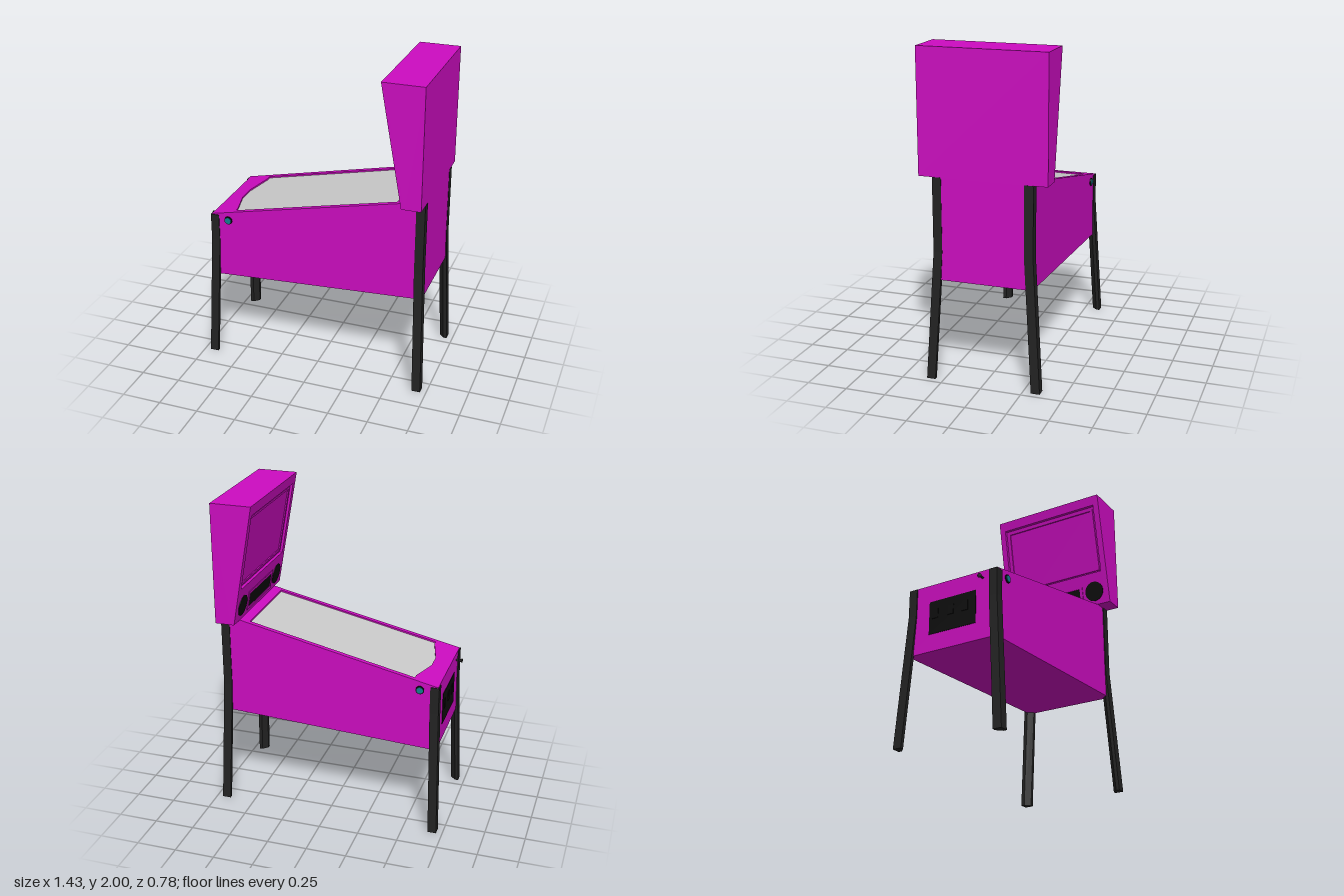
import * as THREE from 'three';

const mat = (color) => new THREE.MeshStandardMaterial({ color });
const paint = mat(0xcc0cc0), black = mat(0x222222), dark = mat(0x0c0c0c);
const teal = mat(0x108090), grey = mat(0xcccccc);

const shapeOf = (pts) => new THREE.Shape(pts.map(([x, y]) => new THREE.Vector2(x, y)));
const rect = (x0, y0, x1, y1) => shapeOf([[x0, y0], [x1, y0], [x1, y1], [x0, y1]]);
const withHoles = (shape, ...holes) => { shape.holes.push(...holes); return shape; };
const extrude = (shape, depth) =>
  new THREE.ExtrudeGeometry(shape, { depth, bevelEnabled: false, curveSegments: 24 });

// Move every vertex of a geometry by a rule
function remap(geo, rule) {
  const p = geo.attributes.position;
  for (let i = 0; i < p.count; i++) p.setXYZ(i, ...rule(p.getX(i), p.getY(i), p.getZ(i)));
  geo.computeVertexNormals();
  return geo;
}

// Sloping planes: top of the cabinet, front of the backbox
const topY = (x) => 0.975 + (x + 0.68) * 0.22;
const faceX = (y) => 0.565 - (y - 1.25) * 0.18;

export function createModel() {
  const model = new THREE.Group();
  const add = (name, geo, material, x = 0, y = 0, z = 0) => {
    const mesh = new THREE.Mesh(geo, material);
    mesh.name = name;
    mesh.position.set(x, y, z);
    model.add(mesh);
    return mesh;
  };
  // Part lying on the cabinet top, drawn in (x, -z), from depth "low" upward
  const onTop = (name, shape, low, thick, material) =>
    add(name, remap(extrude(shape, thick), (x, y, d) => [x, topY(x) + low + d, -y]), material);
  // Part lying on the backbox front, drawn in (z, y), from depth "low" outward
  const onFace = (name, shape, low, thick, material) =>
    add(name, remap(extrude(shape, thick), (x, y, d) => [faceX(y) - low - d, y, x]), material);

  // Cabinet
  const sunk = 0.015;
  add('cabinet', extrude(shapeOf([
    [-0.68, 0.553], [0.685, 0.628], [0.685, 1.25], [0.57, 1.25],
    [0.57, topY(0.57) - sunk], [-0.68, topY(-0.68) - sunk],
  ]), 0.6), paint, 0, 0, -0.3);
  const opening = [[-0.58, -0.055], [-0.53, -0.24], [-0.53, -0.27], [0.51, -0.27],
    [0.51, 0.27], [-0.53, 0.27], [-0.53, 0.24], [-0.58, 0.055]];
  onTop('cabinetRim', withHoles(rect(-0.68, -0.3, 0.57, 0.3), shapeOf(opening)), -sunk, sunk, paint);
  onTop('playfield', shapeOf(opening), -sunk, 0.005, grey);

  // Backbox with a sunken display panel
  const deep = 0.02;
  add('backbox', extrude(shapeOf([
    [faceX(1.25) + deep, 1.25], [0.685, 1.25], [0.685, 2], [faceX(2) + deep, 2],
  ]), 0.78), paint, 0, 0, -0.39);
  onFace('backboxFrame', withHoles(rect(-0.39, 1.25, 0.39, 2), rect(-0.35, 1.47, 0.35, 1.935)),
    -deep, deep, paint);
  onFace('displayTrim', withHoles(rect(-0.335, 1.485, 0.335, 1.92), rect(-0.32, 1.5, 0.32, 1.905)),
    -deep, 0.008, paint);

  // Speaker panel
  onFace('scoreFrame', withHoles(rect(-0.2, 1.275, 0.2, 1.4), rect(-0.18, 1.292, 0.18, 1.38)),
    0, 0.005, paint);
  onFace('scoreDisplay', rect(-0.18, 1.292, 0.18, 1.38), 0, 0.002, dark);
  for (const s of [-1, 1]) {
    const disc = new THREE.Shape().absarc(s * 0.285, 1.342, 0.065, 0, Math.PI * 2);
    onFace('speaker', disc, 0, 0.004, dark);
  }

  // Coin door with its slots and lock
  add('coinDoor', new THREE.BoxGeometry(0.006, 0.205, 0.32), dark, -0.68, 0.763, 0);
  for (const z of [-0.117, -0.01, 0.088])
    add('coinSlot', new THREE.BoxGeometry(0.01, 0.06, 0.04), dark, -0.682, 0.785, z);

  // Plunger
  const plunger = new THREE.LatheGeometry([
    [0, 0], [0.006, 0], [0.006, 0.012], [0.004, 0.018], [0.013, 0.038], [0.013, 0.042], [0, 0.042],
  ].map(([r, y]) => new THREE.Vector2(r, y)), 16);
  add('plunger', plunger, black, -0.678, 0.93, 0.205).rotation.z = Math.PI / 2;

  // Side buttons
  for (const s of [-1, 1]) {
    for (const [name, r, out, m] of [['buttonRing', 0.026, 0.006, dark], ['button', 0.02, 0.01, teal]]) {
      const geo = new THREE.CylinderGeometry(r, r, out * 2, 20).rotateX(Math.PI / 2);
      add(name, geo, m, -0.57, 0.945, s * 0.3);
    }
  }

  // Legs, splayed below the bend
  for (const sz of [-1, 1]) {
    add('frontLeg', legGeometry(-1, sz, 0.972), black);
    add('backLeg', legGeometry(1, sz, 1.25), black);
  }
  return model;
}

// Five-sided section lofted through foot, bend and top
function legGeometry(sx, sz, top) {
  const w = 0.054, c = 0.022;
  const section = [[0, 0], [w, 0], [w, c], [c, w], [0, w]];
  const levels = [[0.713, 0, 0.355], [0.687, 0.8, 0.305], [0.687, top, 0.305]];
  const verts = [], index = [], n = section.length;
  for (const [x, y, z] of levels)
    for (const [a, b] of section) verts.push(sx * (x - a), y, sz * (z - b));
  const tri = (a, b, d) => index.push(...(sx * sz > 0 ? [a, d, b] : [a, b, d]));
  for (let k = 0; k < levels.length - 1; k++)
    for (let i = 0; i < n; i++) {
      const a = k * n + i, b = k * n + (i + 1) % n;
      tri(a, b + n, b);
      tri(a, a + n, b + n);
    }
  const last = (levels.length - 1) * n;
  for (let i = 1; i < n - 1; i++) {
    tri(0, i, i + 1);
    tri(last, last + i + 1, last + i);
  }
  // Put the triangles the right way out
  for (let i = 0; i < index.length; i += 3) [index[i + 1], index[i + 2]] = [index[i + 2], index[i + 1]];
  const indexed = new THREE.BufferGeometry();
  indexed.setAttribute('position', new THREE.Float32BufferAttribute(verts, 3));
  indexed.setIndex(index);
  const geo = indexed.toNonIndexed();
  geo.computeVertexNormals();
  return geo;
}
